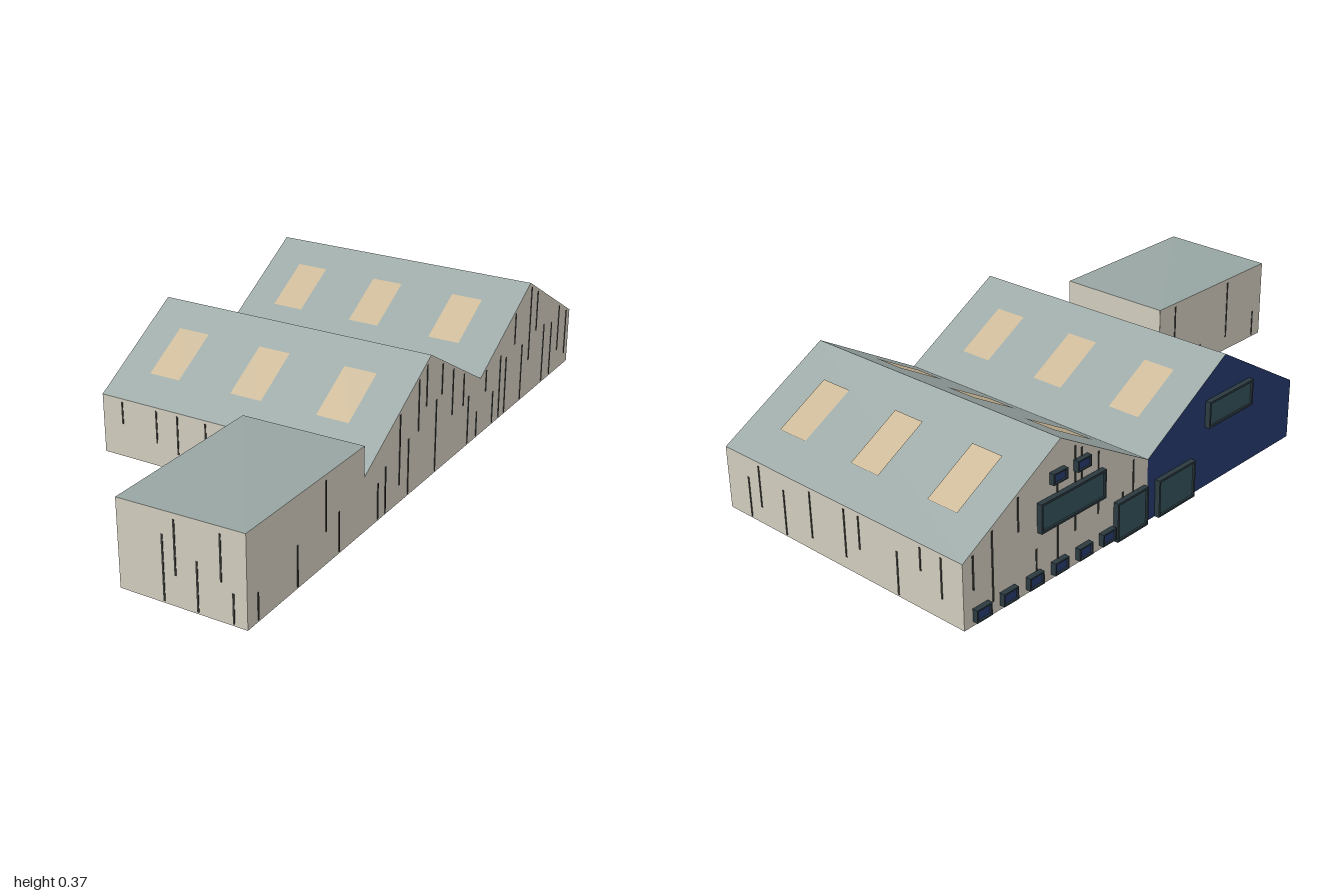
import * as THREE from 'three';

const mat = (color) => new THREE.MeshStandardMaterial({ color, flatShading: true, side: THREE.DoubleSide });

export function createModel() {
  const model = new THREE.Group();
  model.name = 'factoryHall';
  // Site frame: x runs across the hall, z along it, from the back left corner
  const site = new THREE.Group();
  site.name = 'site';
  site.rotation.y = -0.2121;
  site.position.set(-0.28, 0, -1.0);
  model.add(site);

  const M = {
    wall: mat(0xd2ccbe), roof: mat(0x97a5a2), sky: mat(0xc8b594), blue: mat(0x263a6e),
    glass: mat(0x34525a), frame: mat(0x2b3a40), streak: mat(0x3a3935), floor: mat(0x808080),
  };
  const W = 0.855, A = 0.493, L = 1.29, END = 1.855, VAL = 1.325; // widths and lengths

  function add(name, geometry, material, parent = site) {
    const mesh = new THREE.Mesh(geometry, material);
    mesh.name = name;
    parent.add(mesh);
    return mesh;
  }
  // Four-cornered panel, corners counter-clockwise from outside
  function quad(name, a, b, c, d, material) {
    const g = new THREE.BufferGeometry();
    g.setAttribute('position', new THREE.Float32BufferAttribute([...a, ...b, ...c, ...d], 3));
    g.setIndex([0, 1, 2, 0, 2, 3]);
    g.computeVertexNormals();
    return add(name, g, material);
  }
  // Upright wall of outline [z, y] standing at a given x
  function gable(name, x, outline, material) {
    const g = new THREE.ShapeGeometry(new THREE.Shape(outline.map(([z, y]) => new THREE.Vector2(z, y))));
    g.rotateY(-Math.PI / 2);
    if (x > 0.8) { // outer face points to +x
      const i = g.index.array;
      for (let k = 0; k < i.length; k += 3) [i[k], i[k + 1]] = [i[k + 1], i[k]];
      g.computeVertexNormals();
    }
    add(name, g, material).position.x = x;
  }

  // Roof line of the twin-gabled hall
  const line = [[0, 0.176], [0.328, 0.365], [0.655, 0.178], [0.972, 0.362], [L, 0.176]];
  const annexLine = [[VAL, 0.156], [VAL + 0.001, 0.243], [END, 0.25]];

  // Walls
  gable('rightWall', W, [[0, 0], ...line.slice(0, 4), ...annexLine, [END, 0]], M.wall);
  gable('leftWallBackGable', 0, [[0, 0], ...line.slice(0, 3), [0.655, 0]], M.wall);
  gable('leftWallBlueGable', 0, [[0.655, 0], ...line.slice(2), [L, 0]], M.blue);
  gable('annexLeftWall', A, [[L, 0], [L, 0.176], [VAL, 0.156], [VAL + 0.001, 0.241], [END, 0.243], [END, 0]], M.wall);
  quad('backWall', [W, 0, 0], [0, 0, 0], [0, 0.176, 0], [W, 0.176, 0], M.wall);
  quad('frontWall', [0, 0, L], [A, 0, L], [A, 0.176, L], [0, 0.176, L], M.wall);
  quad('annexFrontWall', [A, 0, END], [W, 0, END], [W, 0.25, END], [A, 0.243, END], M.wall);
  quad('annexBackWall', [W, 0.156, VAL], [A, 0.156, VAL], [A, 0.241, VAL], [W, 0.243, VAL], M.wall);

  // Floor
  const floor = new THREE.ShapeGeometry(new THREE.Shape(
    [[0, 0], [W, 0], [W, END], [A, END], [A, L], [0, L]].map(([x, z]) => new THREE.Vector2(x, z))));
  floor.rotateX(Math.PI / 2);
  add('floor', floor, M.floor);

  // Roof slopes, each with three skylights
  for (let i = 0; i < 4; i++) {
    const [z0, y0] = line[i], [z1, y1] = line[i + 1];
    quad('roofSlope', [0, y0, z0], [0, y1, z1], [W, y1, z1], [W, y0, z0], M.roof);
    const at = (t) => [y0 + (y1 - y0) * t + 0.003, z0 + (z1 - z0) * t];
    const [a, b] = [at(0.27), at(0.73)];
    for (const x of [0.152, 0.42, 0.69]) {
      quad('skylight', [x - 0.049, ...a], [x - 0.049, ...b], [x + 0.049, ...b], [x + 0.049, ...a], M.sky);
    }
  }
  quad('roofValley', [A, 0.176, L], [A, 0.156, VAL], [W, 0.156, VAL], [W, 0.176, L], M.roof);
  quad('annexRoof', [A, 0.241, VAL], [A, 0.243, END], [W, 0.25, END], [W, 0.243, VAL], M.roof);

  // Framed openings on the left wall: a pane inside four bars
  function opening(name, z0, z1, y0, y1, material, bar = 0.006) {
    const g = new THREE.Group();
    g.name = name;
    g.position.set(-0.006, (y0 + y1) / 2, (z0 + z1) / 2);
    site.add(g);
    const w = z1 - z0, h = y1 - y0;
    add('pane', new THREE.BoxGeometry(0.008, h, w), material, g);
    for (const s of [-1, 1]) {
      add('frameRail', new THREE.BoxGeometry(0.018, bar, w + bar), M.frame, g).position.y = s * h / 2;
      add('frameStile', new THREE.BoxGeometry(0.018, h, bar), M.frame, g).position.z = s * w / 2;
    }
  }
  opening('gableWindow', 0.895, 1.083, 0.182, 0.252, M.glass);
  opening('blueGableDoor', 0.69, 0.835, 0.004, 0.105, M.glass);
  opening('wideWindow', 0.248, 0.474, 0.152, 0.225, M.glass);
  opening('entranceDoor', 0.526, 0.64, 0.004, 0.108, M.glass);
  for (let i = 0; i < 6; i++) opening('lowVent', 0.03 + i * 0.088, 0.075 + i * 0.088, 0.015, 0.045, M.blue, 0.004);
  for (const z of [0.29, 0.375]) opening('highVent', z, z + 0.045, 0.262, 0.288, M.blue, 0.004);

  // Dark weather streaks running down the walls
  let seed = 7;
  const rnd = () => (seed = (seed * 16807) % 2147483647) / 2147483647;
  function height(z, pts) {
    for (let i = 1; i < pts.length; i++) {
      const [z0, y0] = pts[i - 1], [z1, y1] = pts[i];
      if (z <= z1) return y0 + (y1 - y0) * (z - z0) / (z1 - z0);
    }
    return pts[pts.length - 1][1];
  }
  function streaks(count, from, to, top, place, alongZ) {
    for (let i = 0; i < count; i++) {
      const t = from + (to - from) * (i + 0.15 + 0.7 * rnd()) / count;
      const h = top(t) - 0.01, len = h * (0.25 + 0.6 * rnd());
      const y = rnd() < 0.6 ? h - len / 2 : 0.005 + len / 2;
      const g = new THREE.BoxGeometry(alongZ ? 0.003 : 0.005, len, alongZ ? 0.005 : 0.003);
      const [x, z] = place(t);
      add('wallStreak', g, M.streak).position.set(x, y, z);
    }
  }
  const rightLine = [...line.slice(0, 4), ...annexLine];
  streaks(24, 0.02, 1.28, (z) => height(z, rightLine), (z) => [W, z], true);
  streaks(4, 1.35, 1.84, () => 0.24, (z) => [W, z], true);
  streaks(10, 0.02, 0.64, (z) => height(z, line), (z) => [0, z], true);
  streaks(4, 1.35, 1.84, () => 0.24, (z) => [A, z], true);
  streaks(9, 0.02, 0.83, () => 0.176, (x) => [x, 0], false);
  streaks(5, 0.03, A - 0.03, () => 0.176, (x) => [x, L], false);
  streaks(5, A + 0.1, W - 0.01, () => 0.24, (x) => [x, END], false);

  return model;
}
